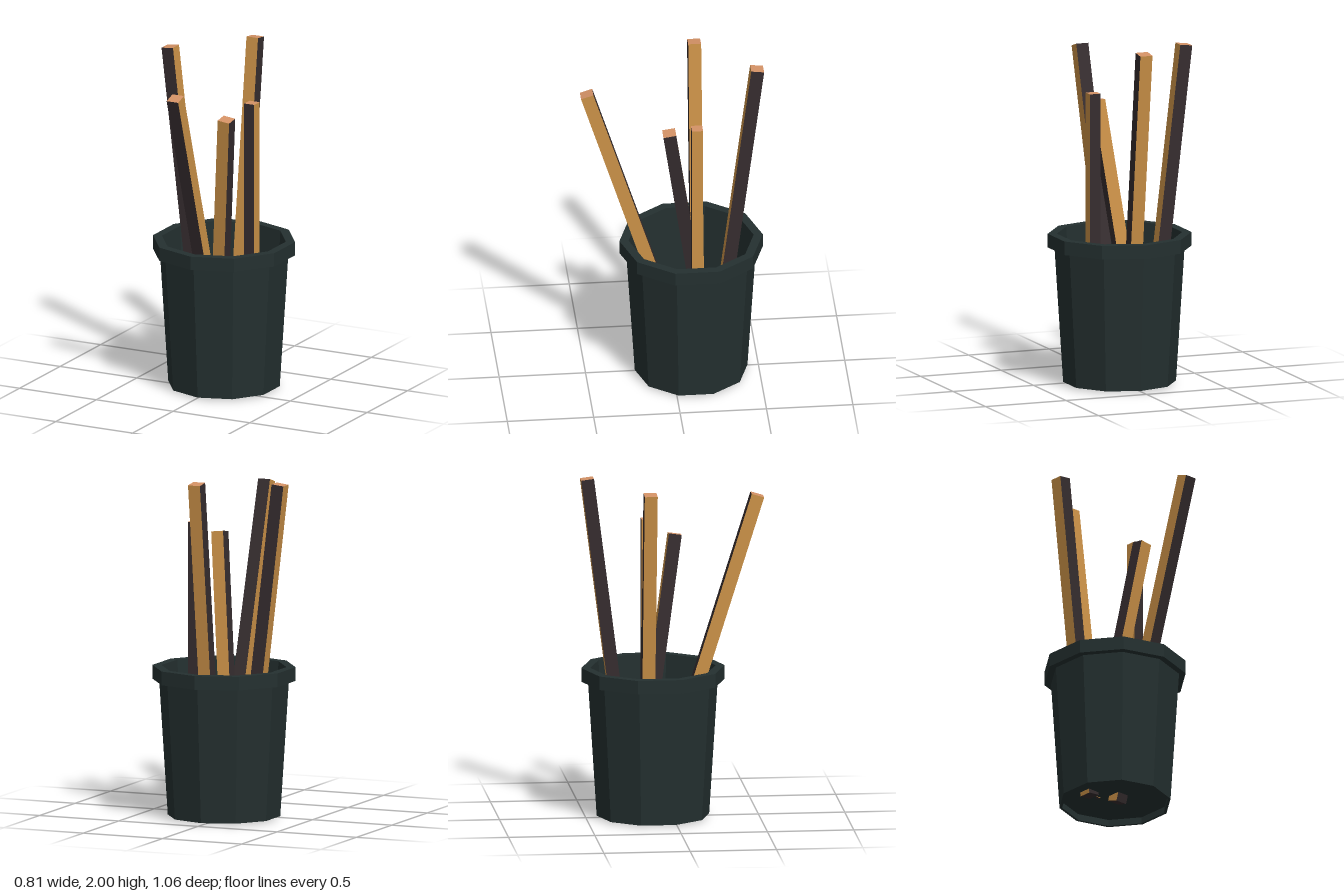
import * as THREE from 'three';

const mat = (name, color, extra = {}) => {
  const m = new THREE.MeshStandardMaterial({ color, ...extra });
  m.name = name;
  return m;
};

export function createModel() {
  const group = new THREE.Group();
  const potColor = mat('dark green pot', 0x243030, { flatShading: true });
  const gold = mat('golden wood', 0xcc9248);
  const dark = mat('dark wood', 0x362d2f);
  const endGrain = mat('end grain', 0xd49266);

  // Ten-sided pot: recessed underside, foot, tapered wall, stepped rim, inner wall, floor
  const profile = [
    [0, 0.05], [0.314, 0.05], [0.311, 0.01], [0.326, 0.01], [0.376, 0.80],
    [0.415, 0.80], [0.415, 0.88], [0.362, 0.88], [0.314, 0.06], [0, 0.06],
  ].map(([r, y]) => new THREE.Vector2(r, y));
  const potGeometry = new THREE.LatheGeometry(profile, 10).toNonIndexed();
  potGeometry.computeVertexNormals();
  const pot = new THREE.Mesh(potGeometry, potColor);
  pot.name = 'pot';
  pot.position.set(0.01, 0, -0.11);
  group.add(pot);

  // Square stick from the centre of its bottom end to the centre of its top end
  const up = new THREE.Vector3(0, 1, 0);
  function addStick(name, bottom, top, width, sides, faces) {
    const a = new THREE.Vector3(...bottom);
    const b = new THREE.Vector3(...top);
    const axis = b.clone().sub(a);
    const stick = new THREE.Mesh(
      new THREE.BoxGeometry(width, axis.length(), width),
      [sides, sides, endGrain, dark, faces, faces],
    );
    stick.name = name;
    stick.position.copy(a).add(b).multiplyScalar(0.5);
    stick.quaternion.setFromUnitVectors(up, axis.normalize());
    group.add(stick);
  }

  // Each stick has two golden and two dark long sides
  addStick('frontStick', [0.012, 0.012, -0.095], [0.012, 1.88, 0.495], 0.075, gold, dark);
  addStick('backStick', [0.012, 0.055, -0.244], [0.012, 1.995, -0.492], 0.075, dark, gold);
  addStick('rightStick', [-0.14, 0.03, -0.163], [-0.368, 1.97, -0.163], 0.075, gold, dark);
  addStick('shortLeaningStick', [-0.085, 0.055, -0.21], [0.097, 1.642, 0.025], 0.075, dark, gold);
  addStick('uprightStick', [0.182, 0.055, -0.128], [0.182, 1.715, -0.128], 0.065, gold, dark);

  return group;
}
